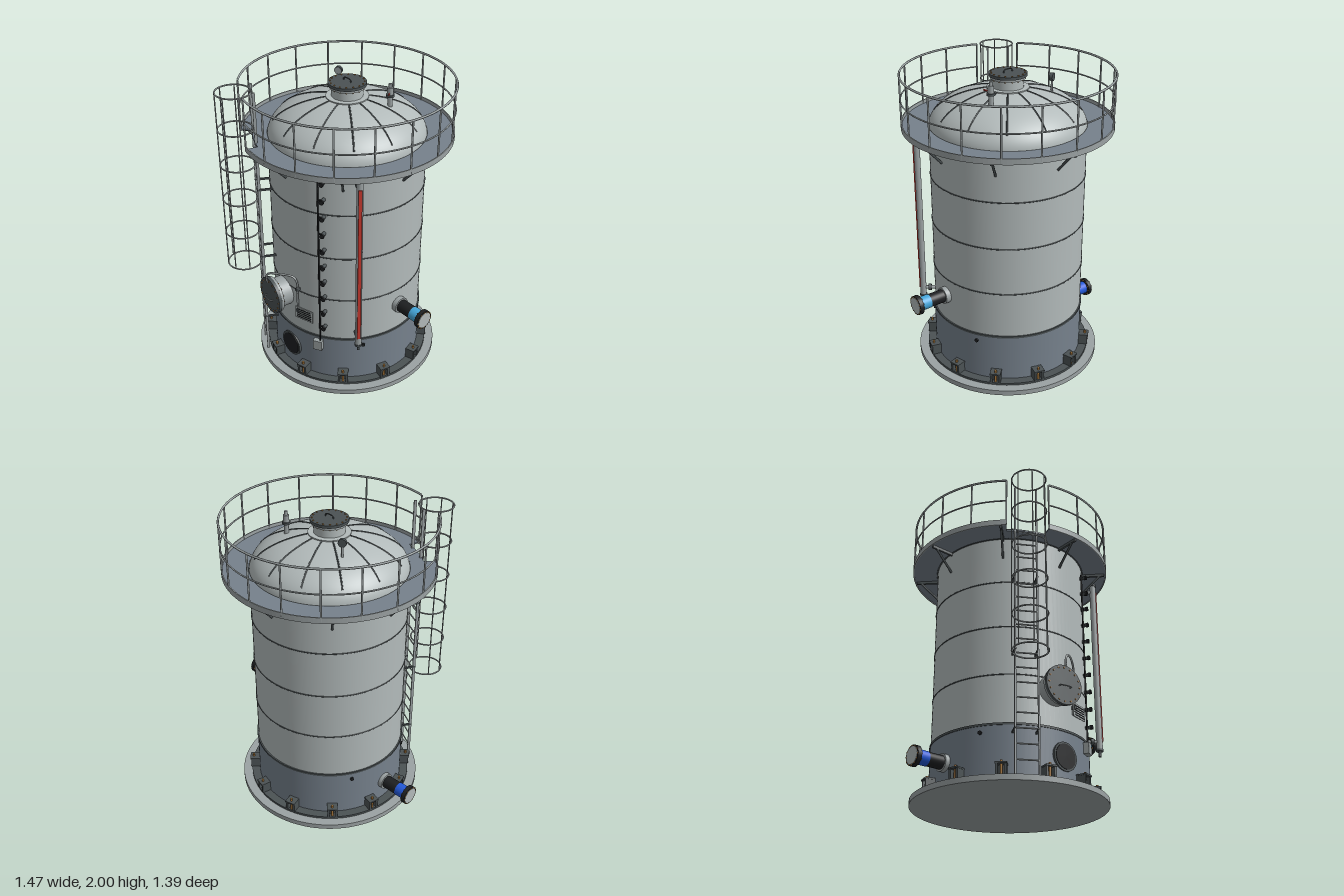
import * as THREE from 'three';

const mat = (name, color) => Object.assign(new THREE.MeshStandardMaterial({ color }), { name });
const M = {
  shell: mat('pale grey shell', 0xb2baba),
  slate: mat('slate paint', 0x76818c),
  steel: mat('galvanised steel', 0x9ba2a3),
  dark: mat('dark grey steel', 0x4b5254),
  black: mat('black rubber', 0x1d1f21),
  blue: mat('deep blue band', 0x2258d8),
  sky: mat('light blue band', 0x45a6da),
  red: mat('red indicator', 0xc8382e),
  brass: mat('brass bolts', 0xa9783c),
};
M.shell.side = THREE.DoubleSide;
const rad = THREE.MathUtils.degToRad;
const V = (x, y, z) => new THREE.Vector3(x, y, z);

function add(parent, name, geo, material, x = 0, y = 0, z = 0) {
  const m = new THREE.Mesh(geo, material);
  m.name = name;
  m.position.set(x, y, z);
  parent.add(m);
  return m;
}
// Group whose +z points away from the tank axis; 0 degrees is the front, 90 the model's left
function radial(parent, name, deg) {
  const g = new THREE.Group();
  g.name = name;
  g.rotation.y = rad(deg);
  parent.add(g);
  return g;
}
const box = (p, n, m, w, h, d, x, y, z) => add(p, n, new THREE.BoxGeometry(w, h, d), m, x, y, z);
// Upright cylinder between two heights
const post = (p, n, m, r, y0, y1, x = 0, z = 0, seg = 10) =>
  add(p, n, new THREE.CylinderGeometry(r, r, y1 - y0, seg), m, x, (y0 + y1) / 2, z);
// Cylinder pointing outwards along z
const rod = (p, n, m, r, z0, z1, x = 0, y = 0, seg = 12) =>
  add(p, n, new THREE.CylinderGeometry(r, r, z1 - z0, seg).rotateX(Math.PI / 2), m, x, y, (z0 + z1) / 2);
// Straight bar between two points
function bar(p, n, m, r, a, b, seg = 6) {
  const o = add(p, n, new THREE.CylinderGeometry(r, r, a.distanceTo(b), seg), m);
  o.position.copy(a).add(b).multiplyScalar(0.5);
  o.quaternion.setFromUnitVectors(V(0, 1, 0), b.clone().sub(a).normalize());
}
const tube = (p, n, m, r, pts, seg = 24) =>
  add(p, n, new THREE.TubeGeometry(new THREE.CatmullRomCurve3(pts), seg, r, 6), m);
// Horizontal hoop, or part of one between two bearings
function hoop(p, n, m, R, r, y, a0 = 0, a1 = 360, seg = 96) {
  const g = new THREE.TorusGeometry(R, r, 6, seg, rad(a1 - a0)).rotateX(-Math.PI / 2).rotateY(rad(a0 - 90));
  return add(p, n, g, m, 0, y, 0);
}
// Flat ring sector with thickness
function sector(p, n, m, r0, r1, y, h, a0, a1) {
  const s = new THREE.Shape();
  s.absarc(0, 0, r1, rad(a0 - 90), rad(a1 - 90), false);
  s.absarc(0, 0, r0, rad(a1 - 90), rad(a0 - 90), true);
  const g = new THREE.ExtrudeGeometry(s, { depth: h, bevelEnabled: false, curveSegments: 72 });
  add(p, n, g.rotateX(-Math.PI / 2), m, 0, y, 0);
}
// Bolt heads round a flange that faces outwards
function boltRing(p, count, R, y, z0, z1) {
  for (let i = 0; i < count; i++) {
    const a = (i / count) * Math.PI * 2;
    rod(p, 'flangeBolt', M.brass, 0.005, z0, z1, R * Math.cos(a), y + R * Math.sin(a), 6);
  }
}

function buildVessel(t) {
  post(t, 'foundationPlate', M.steel, 0.62, 0, 0.035, 0, 0, 96);
  post(t, 'baseRing', M.dark, 0.56, 0.035, 0.05, 0, 0, 96);
  post(t, 'skirt', M.slate, 0.505, 0.05, 0.37, 0, 0, 96);
  post(t, 'skirtBand', M.dark, 0.509, 0.366, 0.38, 0, 0, 96);
  // Shell and elliptical dome share one profile
  const profile = [new THREE.Vector2(0.5, 0.375), new THREE.Vector2(0.5, 1.64)];
  add(t, 'shell', new THREE.LatheGeometry(profile, 96), M.shell);
  const domeY = (r) => 1.64 + 0.25 * Math.sqrt(1 - (r / 0.5) ** 2);
  const dome = [];
  for (let i = 0; i <= 24; i++) {
    const a = (i / 24) * Math.PI / 2;
    dome.push(new THREE.Vector2(0.5 * Math.cos(a), 1.64 + 0.25 * Math.sin(a)));
  }
  add(t, 'dome', new THREE.LatheGeometry(dome, 96), M.shell);
  for (const y of [0.69, 1.01, 1.325]) hoop(t, 'weldSeam', M.dark, 0.5, 0.004, y);
  hoop(t, 'domeRim', M.dark, 0.502, 0.007, 1.65);
  for (let i = 0; i < 12; i++) {
    const g = radial(t, 'domeRib', 172.6 + i * 30);
    const pts = [];
    for (let k = 0; k <= 8; k++) { const r = 0.13 + k * 0.0415; pts.push(V(0, domeY(r), r)); }
    tube(g, 'rib', M.dark, 0.005, pts);
  }
  // Top hatch
  post(t, 'hatchPad', M.shell, 0.133, 1.865, 1.888, 0, 0, 48);
  post(t, 'hatchNeck', M.shell, 0.098, 1.88, 1.955, 0, 0, 48);
  post(t, 'hatchFlange', M.steel, 0.112, 1.945, 1.958, 0, 0, 48);
  post(t, 'hatchCover', M.dark, 0.12, 1.96, 1.978, 0, 0, 48);
  for (let i = 0; i < 16; i++) {
    const a = (i / 16) * Math.PI * 2;
    post(t, 'hatchBolt', M.brass, 0.005, 1.94, 1.983, 0.106 * Math.cos(a), 0.106 * Math.sin(a), 6);
  }
  tube(t, 'hatchHandle', M.dark, 0.004, [V(-0.033, 1.978, 0), V(-0.028, 1.994, 0), V(0.028, 1.994, 0), V(0.033, 1.978, 0)]);
  // Relief valve
  const v = [0.23, -0.14];
  post(t, 'valveNeck', M.steel, 0.015, 1.82, 1.92, ...v);
  post(t, 'valveFlange', M.dark, 0.027, 1.912, 1.926, ...v, 20);
  post(t, 'valveBody', M.steel, 0.019, 1.926, 1.97, ...v, 16);
  post(t, 'valveCap', M.steel, 0.011, 1.97, 1.995, ...v);
  bar(t, 'valveLever', M.red, 0.005, V(0.235, 1.935, -0.13), V(0.255, 1.94, -0.1));
  // Dial gauge
  post(t, 'dialStem', M.steel, 0.007, 1.82, 1.93, -0.235, -0.14);
  const dial = radial(t, 'dialGauge', 30);
  dial.position.set(-0.235, 1.94, -0.14);
  rod(dial, 'dialCase', M.dark, 0.026, -0.011, 0.011, 0, 0, 20);
  rod(dial, 'dialFace', M.steel, 0.021, 0.011, 0.013, 0, 0, 20);
}

function buildSkirtDetails(t) {
  for (let i = 0; i < 12; i++) {
    const g = radial(t, 'anchorChair', 15 + i * 30);
    for (const s of [-1, 1]) box(g, 'gusset', M.dark, 0.014, 0.07, 0.065, s * 0.026, 0.083, 0.532);
    box(g, 'chairBack', M.dark, 0.05, 0.066, 0.025, 0, 0.083, 0.513);
    box(g, 'chairTop', M.dark, 0.07, 0.01, 0.07, 0, 0.119, 0.535);
    post(g, 'anchorBolt', M.brass, 0.008, 0.05, 0.14, 0, 0.545, 8);
  }
  for (const a of [60, 120, 240, 300]) rod(radial(t, 'skirtVent', a), 'vent', M.black, 0.012, 0.49, 0.515, 0, 0.325);
  rod(t, 'accessOpeningRim', M.dark, 0.09, 0.47, 0.512, 0, 0.21, 40);
  rod(t, 'accessOpening', M.black, 0.078, 0.5, 0.515, 0, 0.21, 40);
  // Side nozzles with a colour band
  for (const [a, y, band] of [[90, 0.57, M.sky], [-90, 0.19, M.blue]]) {
    const g = radial(t, 'sideNozzle', a);
    rod(g, 'nozzlePad', M.steel, 0.055, 0.48, 0.532, 0, y, 32);
    rod(g, 'pipe', M.black, 0.043, 0.5, 0.64, 0, y, 32);
    rod(g, 'colourBand', band, 0.045, 0.635, 0.71, 0, y, 32);
    rod(g, 'pipeFlange', M.black, 0.064, 0.706, 0.734, 0, y, 32);
    rod(g, 'pipeEnd', M.shell, 0.054, 0.73, 0.737, 0, y, 32);
    boltRing(g, 12, 0.058, y, 0.702, 0.737);
  }
}

function buildFrontFittings(t) {
  // Manway with its swing arm
  const m = radial(t, 'manway', -8);
  rod(m, 'manwayNeck', M.steel, 0.1, 0.47, 0.58, 0, 0.615, 40);
  rod(m, 'manwayFlange', M.steel, 0.122, 0.572, 0.588, 0, 0.615, 40);
  rod(m, 'manwayCover', M.dark, 0.126, 0.59, 0.612, 0, 0.615, 40);
  boltRing(m, 16, 0.109, 0.615, 0.565, 0.617);
  tube(m, 'coverHandle', M.steel, 0.004, [V(-0.04, 0.6, 0.61), V(-0.035, 0.6, 0.63), V(0.035, 0.6, 0.63), V(0.04, 0.6, 0.61)]);
  tube(t, 'swingArm', M.steel, 0.007, [V(0.085, 0.49, 0.51), V(0.085, 0.65, 0.51), V(0.085, 0.78, 0.515),
    V(0.065, 0.81, 0.53), V(0, 0.82, 0.58), V(-0.065, 0.81, 0.62), V(-0.085, 0.78, 0.625), V(-0.085, 0.73, 0.622)], 40);
  for (const y of [0.54, 0.71]) box(t, 'armHinge', M.dark, 0.018, 0.02, 0.04, 0.085, y, 0.5);
  // Data plate with printed rows
  const d = radial(t, 'dataPlate', 15);
  box(d, 'plateStandoff', M.steel, 0.1, 0.06, 0.03, 0, 0.527, 0.5);
  box(d, 'plate', M.shell, 0.135, 0.088, 0.006, 0, 0.527, 0.517);
  for (let i = 0; i < 5; i++) box(d, 'plateRow', M.black, 0.11, 0.007, 0.004, 0, 0.557 - i * 0.015, 0.52);
  // Row of sampling cocks on a conduit
  const c = radial(t, 'samplingRow', 28);
  post(c, 'conduit', M.black, 0.006, 0.35, 1.56, 0, 0.518, 8);
  box(c, 'junctionBox', M.steel, 0.062, 0.072, 0.035, -0.015, 0.318, 0.52);
  for (let i = 0; i < 10; i++) {
    const y = 0.475 + i * 0.1195;
    rod(c, 'cock', M.dark, 0.012, 0.49, 0.54, 0.032, y);
    rod(c, 'cockCap', M.black, 0.015, 0.53, 0.545, 0.032, y);
    box(c, 'cockLink', M.black, 0.036, 0.008, 0.008, 0.015, y, 0.518);
  }
  // Level gauge
  const l = radial(t, 'levelGauge', 55);
  post(l, 'gaugeColumn', M.steel, 0.021, 0.4, 1.61, 0, 0.582, 16);
  box(l, 'gaugeStrip', M.red, 0.022, 1.1, 0.009, 0, 1.01, 0.602);
  for (const y of [0.455, 1.56]) {
    rod(l, 'gaugeArm', M.steel, 0.012, 0.49, 0.58, 0, y);
    rod(l, 'gaugeArmFlange', M.dark, 0.023, 0.525, 0.545, 0, y, 16);
  }
  for (const y of [0.392, 1.605]) post(l, 'gaugeEnd', M.dark, 0.025, y, y + 0.014, 0, 0.582, 16);
  post(l, 'drainValve', M.dark, 0.009, 0.355, 0.4, 0, 0.582);
}

function buildPlatform(t) {
  const a0 = -18, a1 = 318;
  sector(t, 'deck', M.slate, 0.503, 0.668, 1.647, 0.01, a0, a1);
  sector(t, 'toePlate', M.steel, 0.663, 0.67, 1.642, 0.038, a0, a1);
  sector(t, 'entryStep', M.slate, 0.503, 0.59, 1.647, 0.01, a1 - 360, a0);
  hoop(t, 'topRail', M.steel, 0.665, 0.007, 1.983, a0, a1);
  hoop(t, 'midRail', M.steel, 0.665, 0.005, 1.826, a0, a1);
  for (let i = 0; i <= 17; i++)
    post(radial(t, 'railPost', a0 + ((a1 - a0) * i) / 17), 'post', M.steel, 0.006, 1.65, 1.983, 0, 0.665, 8);
  for (let i = 0; i < 8; i++) {
    const g = radial(t, 'deckBracket', i * 45);
    bar(g, 'strut', M.dark, 0.008, V(0, 1.5, 0.5), V(0, 1.64, 0.63));
    box(g, 'bracketBeam', M.dark, 0.014, 0.018, 0.155, 0, 1.638, 0.578);
  }
}

function buildLadder(t) {
  const g = radial(t, 'ladder', -30);
  for (const s of [-1, 1]) {
    box(g, 'ladderRail', M.steel, 0.01, 1.945, 0.018, s * 0.07, 1.0125, 0.58);
    for (const y of [0.32, 0.82, 1.325]) box(g, 'ladderBracket', M.dark, 0.012, 0.012, 0.1, s * 0.07, y, 0.54);
  }
  for (let y = 0.13; y < 1.7; y += 0.095) bar(g, 'rung', M.steel, 0.005, V(-0.07, y, 0.58), V(0.07, y, 0.58));
  // Safety cage
  for (let i = 0; i < 6; i++) hoop(g, 'cageHoop', M.steel, 0.11, 0.005, 0.76 + i * 0.2425, 0, 360, 40).position.z = 0.694;
  for (const a of [-100, -50, 0, 50, 100])
    post(g, 'cageBar', M.steel, 0.004, 0.76, 1.975, 0.11 * Math.sin(rad(a)), 0.694 + 0.11 * Math.cos(rad(a)), 6);
}

export function createModel() {
  const model = new THREE.Group();
  model.name = 'storageTank';
  const t = new THREE.Group();
  t.name = 'tank';
  t.position.z = -0.017;
  model.add(t);
  buildVessel(t);
  buildSkirtDetails(t);
  buildFrontFittings(t);
  buildPlatform(t);
  buildLadder(t);
  return model;
}
